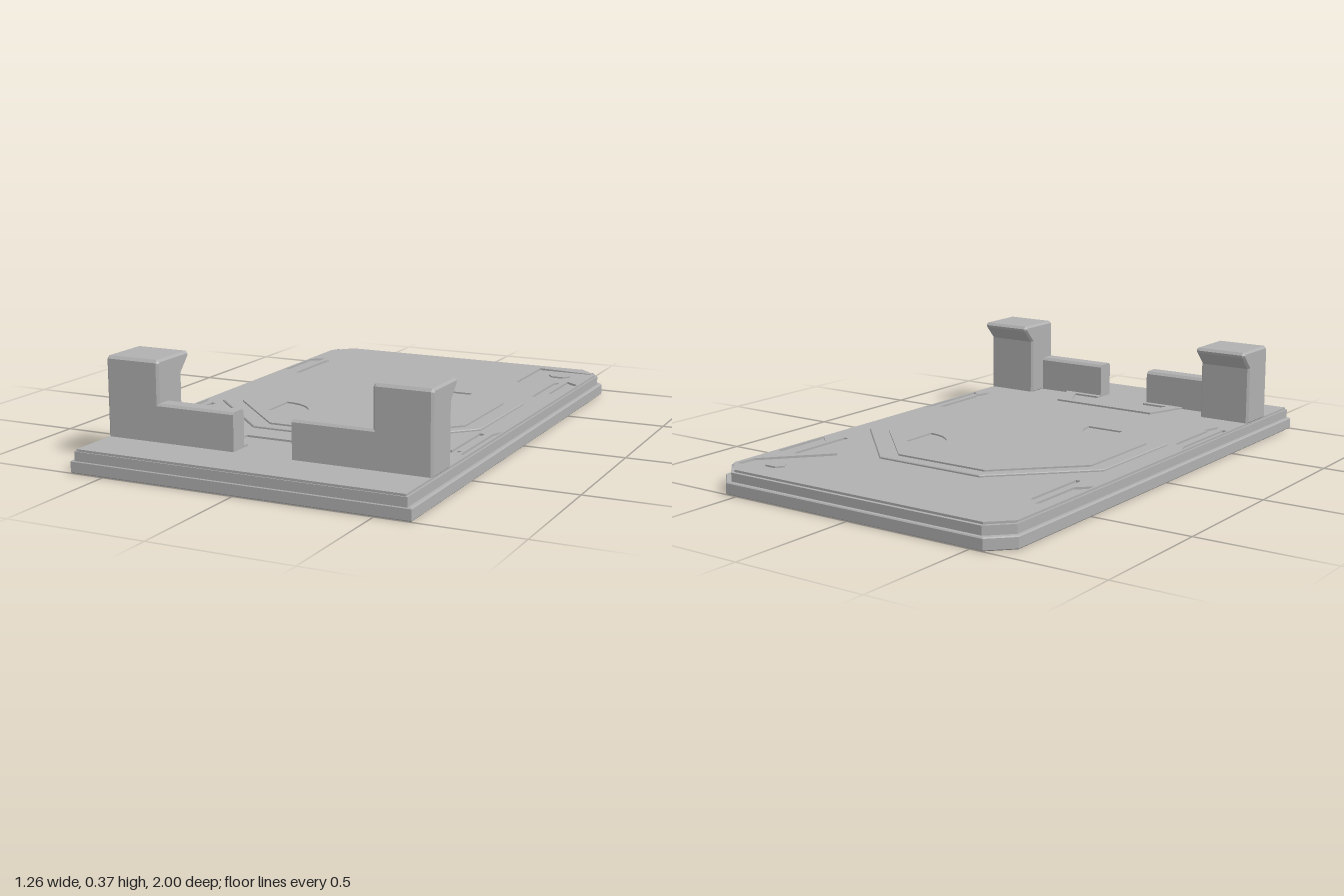
import * as THREE from 'three';

const TOP = 0.085; // deck height
const CZ = -0.045; // centre of the octagon along z

// points are [x, z] pairs seen from above
const toVectors = (pts) => pts.map(([x, z]) => new THREE.Vector2(x, -z));
const mirrorX = (pts) => pts.map(([x, z]) => [-x, z]);
const turn = (pts) => pts.map(([x, z]) => [-x, 2 * CZ - z]);

// upright prism from a plan outline, with optional holes and edge bevel
function prism(outline, y0, y1, holes = [], bevel = 0) {
  const shape = new THREE.Shape(toVectors(outline));
  holes.forEach((h) => shape.holes.push(new THREE.Path(toVectors(h))));
  const geo = new THREE.ExtrudeGeometry(shape, {
    depth: y1 - y0 - 2 * bevel,
    bevelEnabled: bevel > 0,
    bevelSize: bevel,
    bevelThickness: bevel,
    bevelOffset: -bevel,
    bevelSegments: 1,
  });
  geo.translate(0, 0, bevel);
  geo.rotateX(-Math.PI / 2);
  geo.translate(0, y0, 0);
  return geo;
}

// deck outline: square front corners, cut back corners
const deckOutline = (w, back, front, cut) => [
  [-w, front], [w, front], [w, back + cut], [w - cut, back],
  [-w + cut, back], [-w, back + cut],
];

// octagon of half width r
function octagon(r) {
  const k = r * 0.417;
  return [[r, -k], [r, k], [k, r], [-k, r], [-r, k], [-r, -k], [-k, -r], [k, -r]]
    .map(([x, z]) => [x, z + CZ]);
}

export function createModel() {
  const model = new THREE.Group();
  const grey = new THREE.MeshStandardMaterial({ color: 0xb0b0b0 });
  grey.name = 'plain grey';
  const add = (name, geo) => {
    const mesh = new THREE.Mesh(geo, grey);
    mesh.name = name;
    model.add(mesh);
    return mesh;
  };

  // stepped base
  add('lowerSlab', prism(deckOutline(0.628, -1, 1, 0.08), 0, 0.045, [], 0.004));
  add('middleSlab', prism(deckOutline(0.613, -0.985, 0.997, 0.078), 0.04, 0.077));

  // engraved markings along the right side, mirrored to the left
  const markings = [
    [[-0.59, -0.925], [-0.36, -0.925], [-0.36, -0.64], [-0.39, -0.6], [-0.587, -0.82]],
    [[-0.598, -0.68], [-0.547, -0.72], [-0.547, -0.49], [-0.598, -0.44]],
    [[-0.525, -0.67], [-0.515, -0.69], [-0.505, -0.67], [-0.505, -0.41], [-0.525, -0.41]],
    [[-0.555, 0.21], [-0.535, 0.21], [-0.535, 0.46], [-0.52, 0.46], [-0.543, 0.54],
      [-0.57, 0.46], [-0.555, 0.46]],
    [[-0.598, 0.15], [-0.58, 0.2], [-0.58, 0.5], [-0.598, 0.5]],
  ];
  const grooves = [...markings, ...markings.map(mirrorX)];
  add('topDeck', prism(deckOutline(0.606, -0.972, 0.993, 0.075), 0.077, TOP, grooves));

  // octagonal rim and raised panel with a cut border pattern
  add('octagonRim', prism(octagon(0.525), TOP - 0.004, 0.093, [octagon(0.498)], 0.003));
  const bracket = [[-0.29, -0.335], [0.11, -0.335], [0.11, -0.25], [-0.205, -0.25],
    [-0.205, 0.065], [-0.29, 0.065]];
  const quarter = [[0.29, -0.335]];
  for (let i = 0; i <= 8; i++) {
    const a = (i / 8) * Math.PI / 2;
    quarter.push([0.29 - 0.15 * Math.cos(a), -0.335 + 0.15 * Math.sin(a)]);
  }
  const cuts = [bracket, turn(bracket), quarter, turn(quarter)];
  add('octagonPanel', prism(octagon(0.455), TOP - 0.001, 0.091, cuts));

  // raised trapezoid frame between the front walls
  add('frontFrame', prism([
    [-0.285, 0.75], [-0.22, 0.57], [0.22, 0.57], [0.285, 0.75], [0.11, 0.75],
    [0.11, 0.705], [0.22, 0.705], [0.17, 0.603], [-0.17, 0.603], [-0.22, 0.705],
    [-0.11, 0.705], [-0.11, 0.75],
  ], TOP - 0.001, 0.092));

  // side profile of a post in (z, y), with a lip overhanging the deck
  const profile = new THREE.Shape([
    [0.8, 0.08], [0.8, 0.36], [0.79, 0.37], [0.61, 0.37], [0.6, 0.36],
    [0.604, 0.35], [0.65, 0.3], [0.65, 0.08],
  ].map(([z, y]) => new THREE.Vector2(-z, y)));

  for (const [side, s] of [['left', 1], ['right', -1]]) {
    const post = new THREE.ExtrudeGeometry(profile, {
      depth: 0.192, bevelEnabled: true, bevelSize: 0.008, bevelThickness: 0.008,
      bevelOffset: -0.008, bevelSegments: 1,
    });
    post.translate(0, 0, -0.096);
    post.rotateY(Math.PI / 2);
    post.translate(s * 0.506, 0, 0);
    add(side + 'Post', post);

    // low wall with bevelled top edges
    const wall = new THREE.Shape([
      [0.8, 0.08], [0.8, 0.212], [0.792, 0.22], [0.74, 0.22], [0.73, 0.21], [0.73, 0.08],
    ].map(([z, y]) => new THREE.Vector2(-z, y)));
    const wallGeo = new THREE.ExtrudeGeometry(wall, { depth: 0.3, bevelEnabled: false });
    wallGeo.translate(0, 0, -0.15);
    wallGeo.rotateY(Math.PI / 2);
    wallGeo.translate(s * 0.26, 0, 0);
    add(side + 'Wall', wallGeo);

    // small hexagonal stud inside each rear corner recess
    const hex = [];
    for (let i = 0; i < 6; i++) {
      const a = i * Math.PI / 3;
      hex.push([s * 0.475 + 0.045 * Math.cos(a), -0.83 + 0.03 * Math.sin(a)]);
    }
    add(side + 'CornerStud', prism(hex, 0.076, 0.083));
  }
  return model;
}
